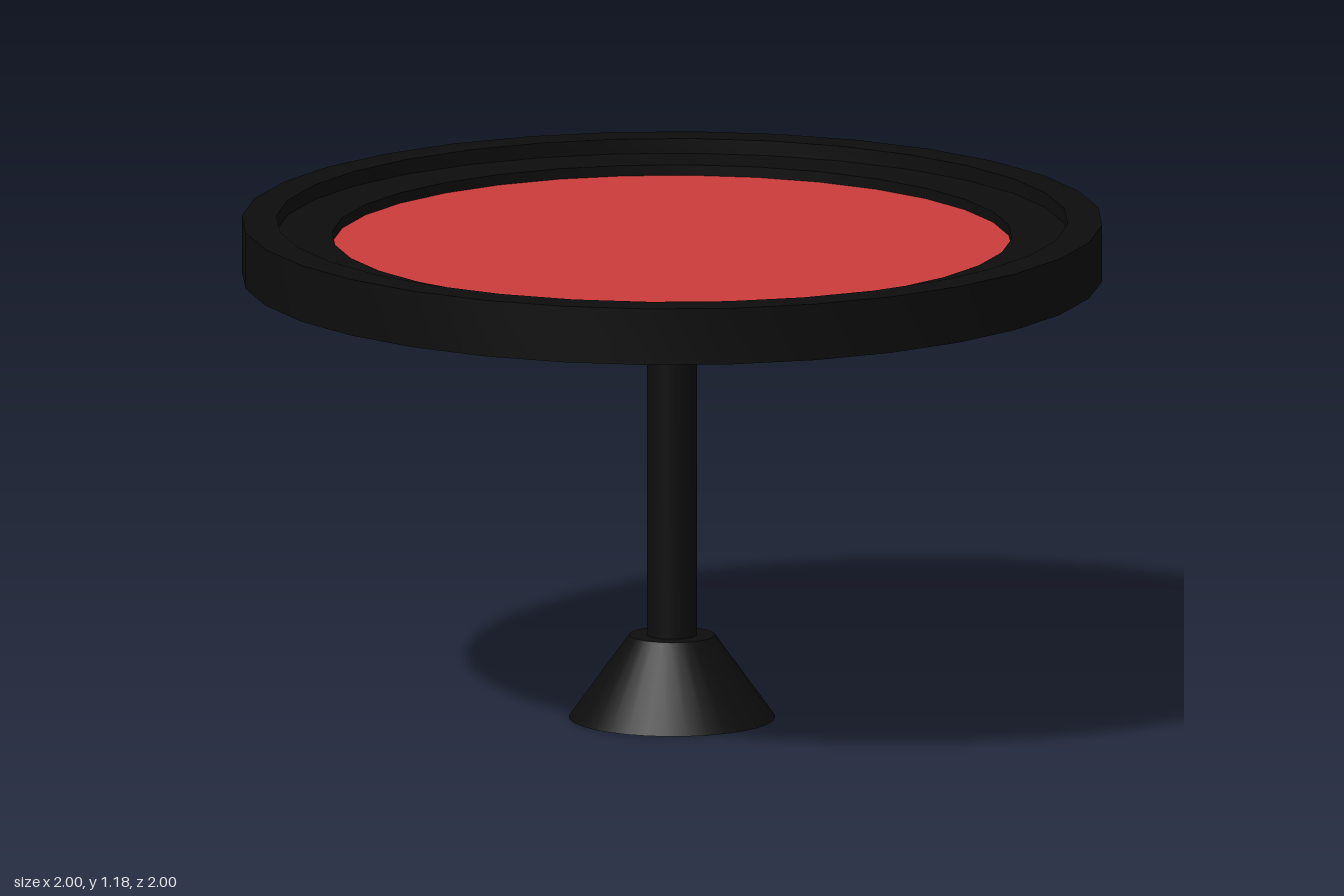
import * as THREE from 'three';
import { toCreasedNormals } from 'three/addons/utils/BufferGeometryUtils.js';

const SIDES = 32;

export function createModel() {
  const black = new THREE.MeshStandardMaterial({ color: 0x0d0d0d });
  black.name = 'black';
  const red = new THREE.MeshStandardMaterial({ color: 0xcc3b3b });
  red.name = 'red felt';

  const model = new THREE.Group();
  model.name = 'roundTable';

  // Turned part from [radius, height] pairs, listed from the bottom centre outwards
  const turned = (name, profile, material, depth = 1) => {
    const points = profile.map(([r, y]) => new THREE.Vector2(r, y));
    const geometry = new THREE.LatheGeometry(points, SIDES).scale(1, 1, depth);
    const mesh = new THREE.Mesh(toCreasedNormals(geometry, 0.5), material);
    mesh.name = name;
    model.add(mesh);
  };

  // Foot and post are slightly oval
  turned('foot', [[0, 0], [0.24, 0], [0.1, 0.195], [0, 0.195]], black, 0.935);
  turned('post', [[0, 0.19], [0.058, 0.19], [0.058, 1.05], [0, 1.05]], black, 0.92);

  // Tabletop with a raised rim, a lower ledge and a shallow well
  turned('tabletop', [
    [0, 1.045], [1, 1.045], [1, 1.178], [0.92, 1.178],
    [0.92, 1.143], [0.79, 1.143], [0.79, 1.112], [0, 1.112],
  ], black);

  // Playing surface set into the well
  turned('playingSurface', [[0.79, 1.118], [0, 1.118]], red);

  return model;
}
